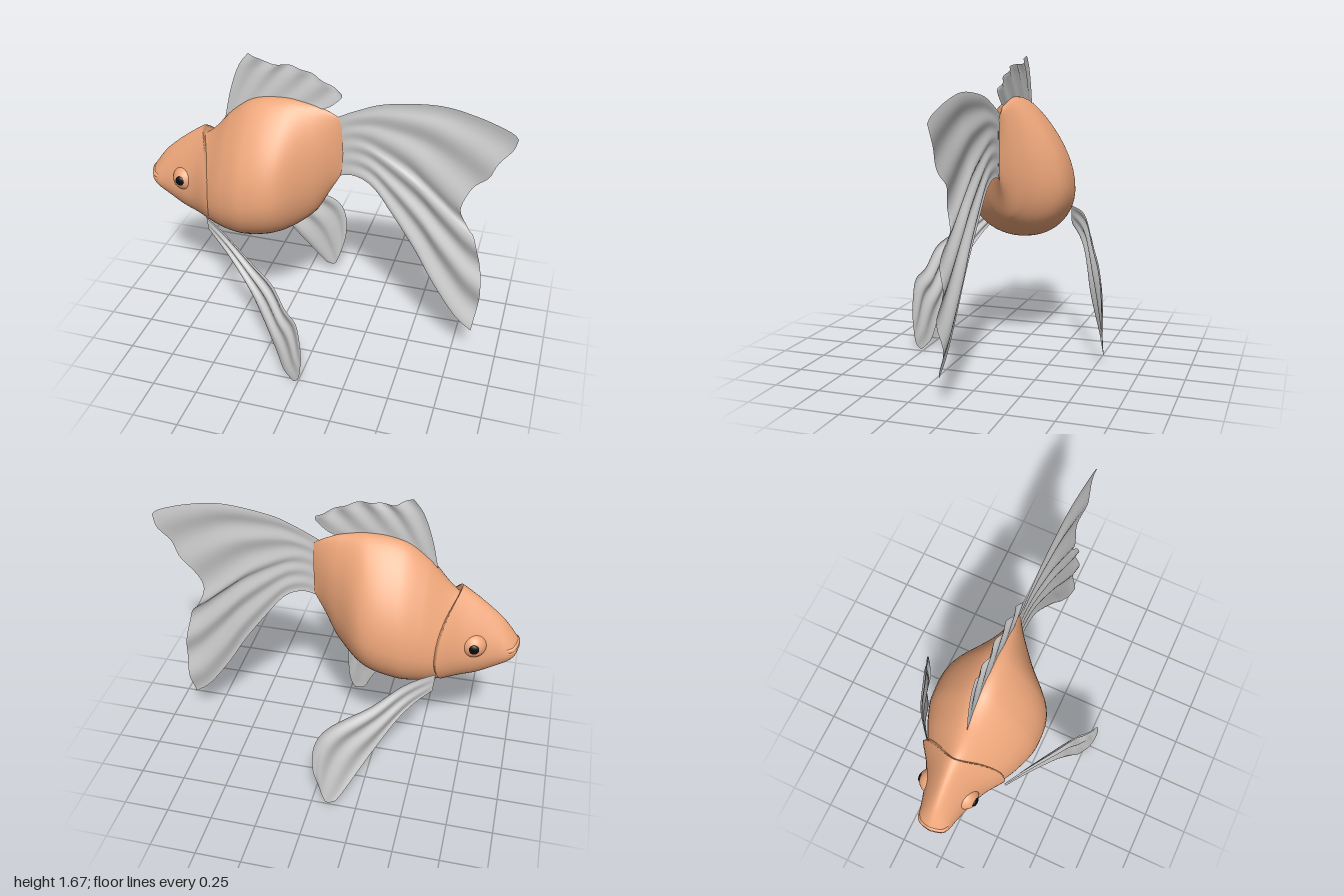
import * as THREE from 'three';
import { ParametricGeometry } from 'three/addons/geometries/ParametricGeometry.js';

const skin = new THREE.MeshStandardMaterial({ color: 0xeda67a, side: THREE.DoubleSide });
const finMat = new THREE.MeshStandardMaterial({ color: 0xcccccc, side: THREE.DoubleSide });
const black = new THREE.MeshStandardMaterial({ color: 0x0a0a0a });

function add(parent, name, geometry, material) {
  const mesh = new THREE.Mesh(geometry, material);
  mesh.name = name;
  parent.add(mesh);
  return mesh;
}

// Smooth interpolation of column c in a table whose first column is x
function sample(table, x, c) {
  const last = table.length - 1;
  let i = 0;
  while (i < last - 1 && x > table[i + 1][0]) i++;
  const slope = (k) => {
    const a = table[Math.max(0, k - 1)], b = table[Math.min(last, k + 1)];
    return (b[c] - a[c]) / (b[0] - a[0]);
  };
  const [p, q] = [table[i], table[i + 1]];
  const h = q[0] - p[0];
  const t = THREE.MathUtils.clamp((x - p[0]) / h, 0, 1);
  const s = t * t * (3 - 2 * t);
  return p[c] * (1 - s) + q[c] * s
    + h * t * (1 - t) * ((1 - t) * slope(i) - t * slope(i + 1));
}

// Point on an egg-shaped section: table rows are [x, bottom, top, half width]
function eggPoint(table, x, angle, shrink, target) {
  const bottom = sample(table, x, 1), top = sample(table, x, 2), width = sample(table, x, 3);
  const mid = bottom + (top - bottom) * 0.37;
  const s = Math.sin(angle);
  const narrow = s > 0 ? 1 - 0.4 * s * s : 1;
  const y = mid + (s > 0 ? top - mid : mid - bottom) * s * shrink;
  target.set(x, y, width * Math.cos(angle) * narrow * shrink);
}

const bodyTable = [
  [-0.72, 0.69, 1.15, 0.13], [-0.65, 0.668, 1.19, 0.18], [-0.6, 0.655, 1.235, 0.215],
  [-0.5, 0.638, 1.345, 0.267], [-0.377, 0.64, 1.43, 0.303], [-0.2, 0.69, 1.455, 0.278],
  [-0.045, 0.8, 1.43, 0.13], [0.035, 0.94, 1.4, 0.055], [0.085, 1.03, 1.372, 0.014],
  [0.1, 1.06, 1.36, 0.004],
];
const headTable = [
  [-1, 0.895, 0.92, 0.012], [-0.985, 0.853, 0.945, 0.06], [-0.95, 0.81, 0.995, 0.085],
  [-0.9, 0.773, 1.055, 0.098], [-0.8, 0.715, 1.14, 0.128], [-0.7, 0.683, 1.21, 0.168],
  [-0.6, 0.66, 1.27, 0.238], [-0.55, 0.65, 1.31, 0.262],
];
// Gill cover edge: x for each height from belly (-1) to crown (1)
const gillTable = [[-1, -0.615], [-0.4, -0.582], [0.2, -0.582], [0.6, -0.61], [1, -0.665]];

// Fin surface blended between four edges; front and back both run from root to tip
function fin(parent, name, { front, back, root = [], tip, depth }) {
  const curve = (pts) => new THREE.SplineCurve(pts.map(([x, y]) => new THREE.Vector2(x, y)));
  const end = (pts) => pts[pts.length - 1];
  const c0 = curve(front), c1 = curve(back);
  const d0 = curve([front[0], ...root, back[0]]);
  const d1 = curve([end(front), ...tip, end(back)]);
  const mix = (a, b, t) => a + (b - a) * t;
  const surface = (u, v, target) => {
    u = THREE.MathUtils.clamp(u, 0, 1);
    v = THREE.MathUtils.clamp(v, 0, 1);
    const a = c0.getPointAt(u), b = c1.getPointAt(u), r = d0.getPointAt(v), e = d1.getPointAt(v);
    const at = (k, i) => mix(a[k], b[k], v) + mix(r[k], e[k], u)
      - mix(mix(front[0][i], back[0][i], v), mix(end(front)[i], end(back)[i], v), u);
    const x = at('x', 0), y = at('y', 1);
    target.set(x, y, depth(x, y, u, v));
  };
  return add(parent, name, new ParametricGeometry(surface, 40, 48), finMat);
}

export function createModel() {
  const fish = new THREE.Group();
  fish.name = 'goldfish';

  // Body, slightly off the middle plane at its widest
  add(fish, 'body', new ParametricGeometry((u, v, p) => {
    eggPoint(bodyTable, -0.72 + 0.82 * u, v * Math.PI * 2, 1, p);
    p.z += 0.012 * Math.sin(Math.PI * THREE.MathUtils.clamp(u, 0, 1));
  }, 56, 56), skin);

  // Head shell with its rim turned in at the gills
  add(fish, 'head', new ParametricGeometry((u, v, p) => {
    const angle = v * Math.PI * 2;
    const edge = sample(gillTable, Math.sin(angle), 1);
    const w = 1 - (1 - u) ** 2;
    const x = -1 + (edge + 1) * (u * u * 0.5 + u * 0.5);
    const rim = THREE.MathUtils.smoothstep(u, 0.965, 1);
    eggPoint(headTable, x, angle, 1 - 0.16 * rim * w, p);
  }, 56, 56), skin);

  // Lips
  for (const [name, y, drop] of [['upperLip', 0.925, 0.022], ['lowerLip', 0.898, 0.012]]) {
    const path = new THREE.CatmullRomCurve3([
      [-0.94, -0.075], [-0.968, -0.062], [-0.985, 0], [-0.968, 0.062], [-0.94, 0.075],
    ].map(([x, z]) => new THREE.Vector3(x, y - drop * Math.abs(z) / 0.075, z)));
    add(fish, name, new THREE.TubeGeometry(path, 24, 0.014, 10), skin);
  }

  // Eyes
  for (const [side, s] of [['left', 1], ['right', -1]]) {
    const socket = add(fish, side === 'left' ? 'frontEyeBulge' : 'backEyeBulge',
      new THREE.SphereGeometry(0.07, 28, 20), skin);
    socket.position.set(-0.768, 0.935, s * 0.092);
    const pupil = add(fish, side === 'left' ? 'frontPupil' : 'backPupil',
      new THREE.SphereGeometry(0.029, 20, 14), black);
    pupil.position.set(-0.775, 0.94, s * 0.151);
    pupil.scale.z = 0.5;
  }

  // Tail fin
  fin(fish, 'tailFin', {
    front: [[0.06, 1.03], [0.16, 1.05], [0.265, 1.0], [0.38, 0.85], [0.515, 0.65],
      [0.62, 0.47], [0.755, 0.275], [0.855, 0.19]],
    back: [[0.06, 1.375], [0.18, 1.435], [0.33, 1.49], [0.585, 1.52], [0.78, 1.49], [0.945, 1.435], [0.99, 1.4]],
    tip: [[0.885, 0.435], [0.865, 0.62], [0.825, 0.79], [0.785, 0.84], [0.74, 0.955],
      [0.785, 1.08], [0.865, 1.16], [0.905, 1.25], [0.97, 1.33]],
    depth: (x, y, u, v) => 0.004 + 0.02 * u
      + 0.016 * Math.min(1, u * 1.6) * (1 - 0.5 * v) * Math.sin(v * 30 + u * 1.5),
  });

  // Dorsal fin
  fin(fish, 'dorsalFin', {
    front: [[-0.55, 1.28], [-0.51, 1.46], [-0.46, 1.6], [-0.405, 1.675]],
    back: [[-0.02, 1.415], [0.03, 1.435], [0.09, 1.49], [0.09, 1.515]],
    root: [[-0.46, 1.37], [-0.37, 1.42], [-0.2, 1.44]],
    tip: [[-0.355, 1.655], [-0.3, 1.633], [-0.15, 1.63], [-0.02, 1.58]],
    depth: (x, y, u, v) => 0.012 - 0.008 * u + 0.009 * u * Math.sin(v * 26),
  });

  // Paired fins, sweeping outward and back
  fin(fish, 'frontPairedFin', {
    front: [[-0.59, 0.715], [-0.445, 0.605], [-0.31, 0.46], [-0.23, 0.33], [-0.14, 0.155],
      [-0.09, 0.045], [-0.025, 0.004]],
    back: [[-0.6, 0.785], [-0.47, 0.75], [-0.285, 0.66], [-0.15, 0.595], [-0.07, 0.48],
      [0, 0.425], [0.025, 0.3], [0.03, 0.195]],
    tip: [[0, 0.03], [0.018, 0.08]],
    depth: (x, y, u, v) => 0.53 + 0.5 * x + 0.012 * Math.sin(Math.PI * u) * Math.sin(v * 15),
  });
  const backDepth = [[-0.62, -0.2], [-0.58, -0.23], [-0.4, -0.365], [-0.18, -0.47], [0, -0.555]];
  fin(fish, 'backPairedFin', {
    front: [[-0.59, 0.69], [-0.5, 0.635], [-0.42, 0.545], [-0.31, 0.355], [-0.18, 0.125], [-0.14, 0.065]],
    back: [[-0.6, 0.795], [-0.45, 0.78], [-0.29, 0.67], [-0.1, 0.57], [-0.03, 0.46], [-0.02, 0.3], [-0.05, 0.16]],
    tip: [[-0.09, 0.06]],
    depth: (x, y, u, v) => sample(backDepth, x, 1) - 0.04 * THREE.MathUtils.smoothstep(u, 0.5, 1)
      * (1 - v) + 0.012 * Math.sin(Math.PI * u) * Math.sin(v * 15),
  });

  return fish;
}
